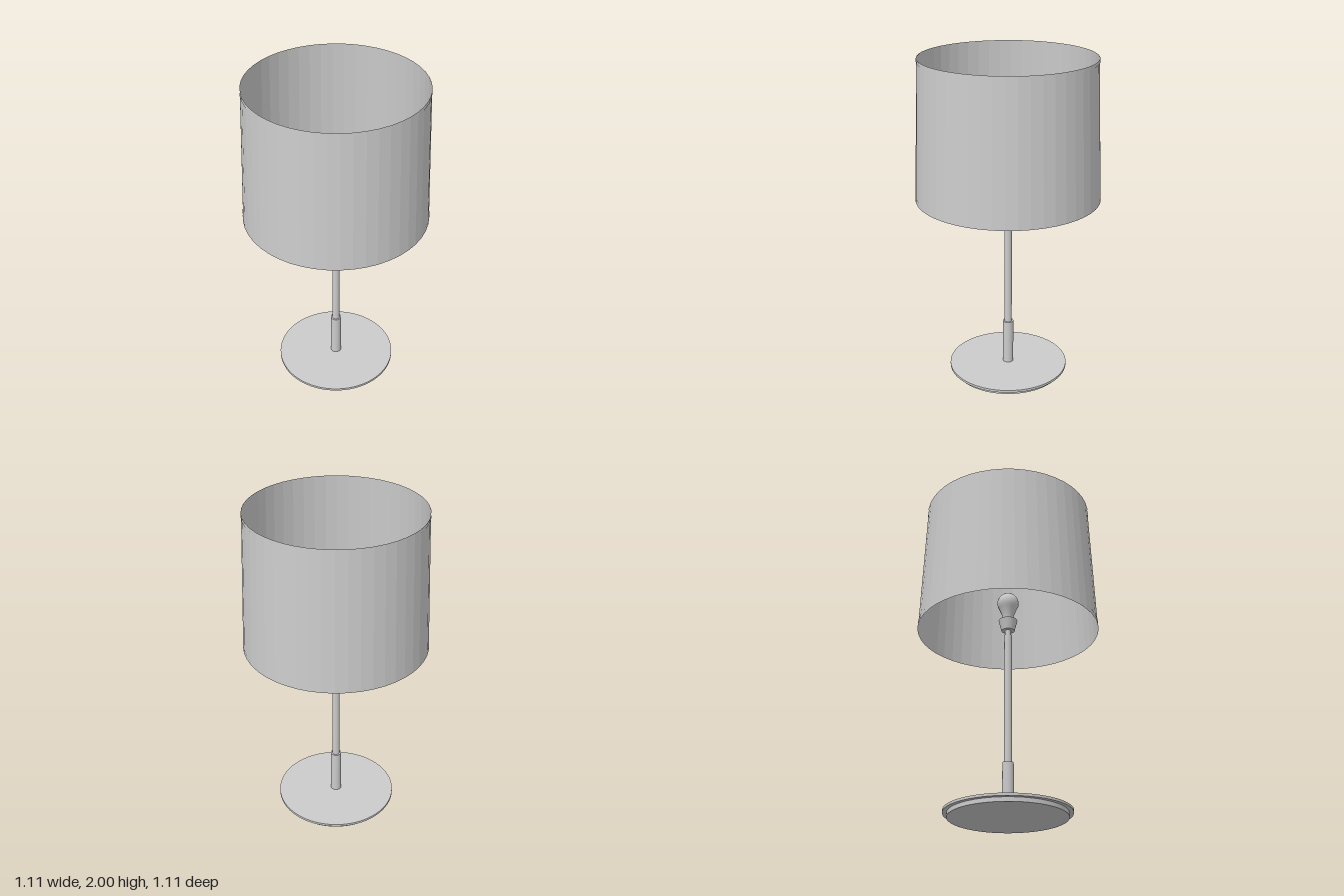
import * as THREE from 'three';

const material = new THREE.MeshStandardMaterial({ color: 0xcccccc });
const shadeMaterial = new THREE.MeshStandardMaterial({
  color: 0xcccccc, flatShading: true, side: THREE.DoubleSide,
});

export function createModel() {
  const lamp = new THREE.Group();
  lamp.name = 'tableLamp';

  const add = (name, geometry, mat = material, y = 0) => {
    const mesh = new THREE.Mesh(geometry, mat);
    mesh.name = name;
    mesh.position.y = y;
    lamp.add(mesh);
  };

  // Upright round part between two heights
  const round = (name, bottom, top, rBottom, rTop = rBottom, sides = 24) =>
    add(name, new THREE.CylinderGeometry(rTop, rBottom, top - bottom, sides),
      material, (bottom + top) / 2);

  // Stepped base and stem
  round('baseFoot', 0, 0.025, 0.345, 0.345, 64);
  round('basePlate', 0.025, 0.04, 0.37, 0.37, 64);
  round('stemSleeve', 0.04, 0.325, 0.033);
  round('stem', 0.325, 1.14, 0.023);
  round('stemNeck', 1.14, 1.17, 0.018);

  // Flared bulb holder
  round('bulbHolder', 1.17, 1.24, 0.04, 0.058);

  // Bulb: narrow neck swelling into a globe
  const bulb = [[0.03, 1.24], [0.034, 1.27], [0.048, 1.305]];
  for (let i = 0; i <= 8; i++) {
    const a = -0.6 + (Math.PI / 2 + 0.6) * (i / 8);
    bulb.push([Math.max(0, 0.067 * Math.cos(a)), 1.36 + 0.067 * Math.sin(a)]);
  }
  add('bulb', new THREE.LatheGeometry(bulb.map(([r, y]) => new THREE.Vector2(r, y)), 16));

  // Tapered open shade with a trim band at each rim
  const shadeRadius = (y) => 0.552 - (0.034 * (y - 1.16)) / 0.84;
  const band = (name, bottom, top, offset) =>
    add(name, new THREE.CylinderGeometry(shadeRadius(top) + offset,
      shadeRadius(bottom) + offset, top - bottom, 48, 1, true),
    shadeMaterial, (bottom + top) / 2);
  band('shade', 1.16, 2, 0);
  band('shadeBottomTrim', 1.16, 1.19, 0.002);
  band('shadeTopTrim', 1.98, 2, 0.002);

  return lamp;
}
